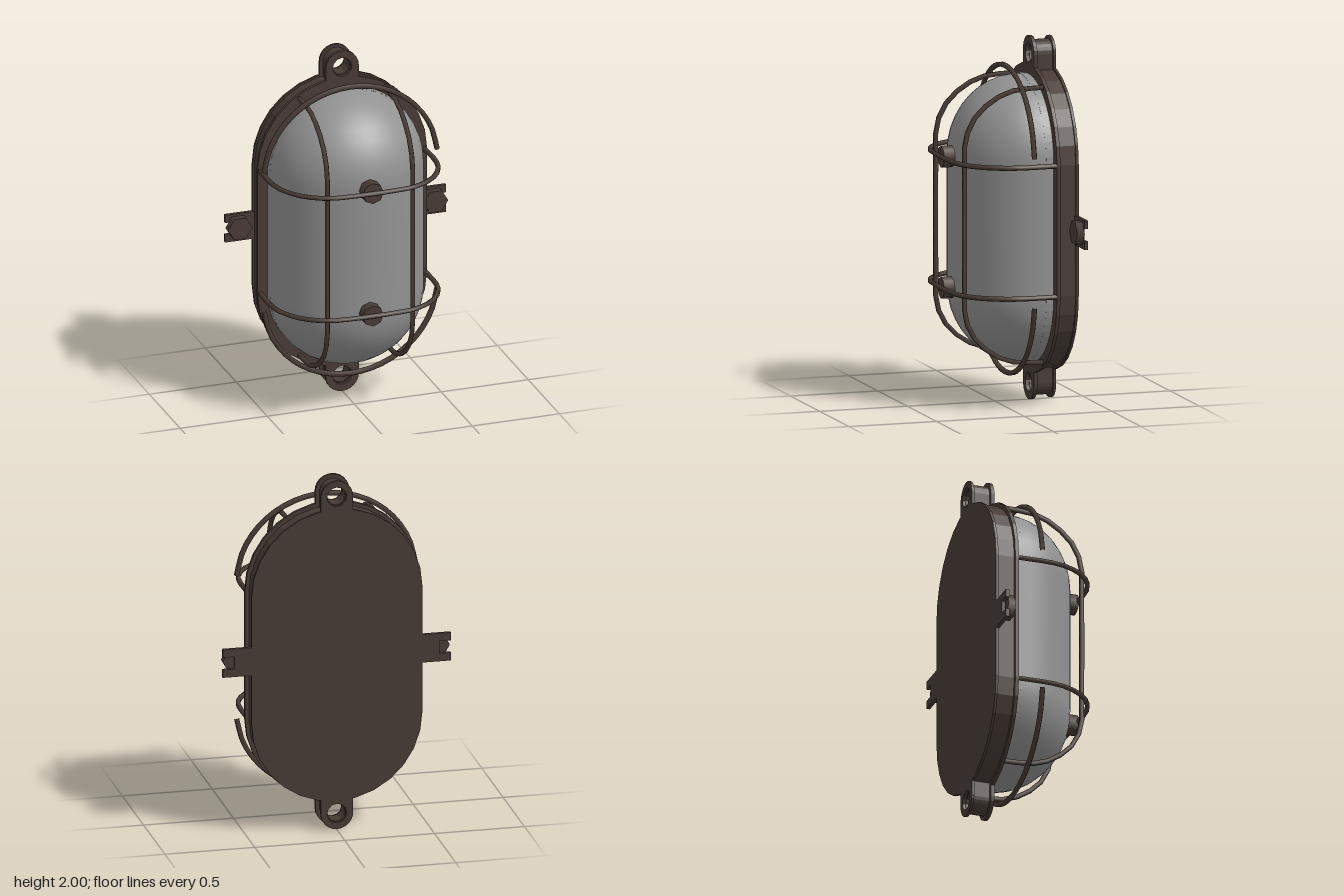
import * as THREE from 'three';

const C = 0.36; // distance of the rounded ends' centres from the middle

export function createModel() {
  const bronze = new THREE.MeshStandardMaterial({ color: 0x483b35 });
  bronze.name = 'dark bronze';
  const glassGrey = new THREE.MeshStandardMaterial({ color: 0x929292 });
  glassGrey.name = 'glass grey';

  const model = new THREE.Group();
  model.name = 'bulkheadLamp';
  const body = new THREE.Group();
  body.name = 'lampBody';
  body.position.y = 1; // the body is modelled around its own middle
  model.add(body);

  const add = (name, geometry, material = bronze) => {
    const mesh = new THREE.Mesh(geometry, material);
    mesh.name = name;
    body.add(mesh);
    return mesh;
  };
  const slab = (shape, z0, z1, curveSegments = 7) =>
    new THREE.ExtrudeGeometry(shape, { depth: z1 - z0, bevelEnabled: false, curveSegments }).translate(0, 0, z0);
  const stadium = (r) => {
    const s = new THREE.Shape();
    s.absarc(0, C, r, 0, Math.PI, false);
    s.absarc(0, -C, r, Math.PI, Math.PI * 2, false);
    s.closePath();
    return s;
  };
  // Hanging eye with a bolt hole; side is +1 for the top, -1 for the bottom
  const eye = (r, hole, side) => {
    const s = new THREE.Shape();
    s.absarc(0, 0.905 * side, r, side > 0 ? 0 : Math.PI, side > 0 ? Math.PI : Math.PI * 2, false);
    s.lineTo(-r * side, 0.78 * side);
    s.lineTo(r * side, 0.78 * side);
    s.closePath();
    const h = new THREE.Path();
    h.absarc(0, 0.905 * side, hole, 0, Math.PI * 2, true);
    s.holes.push(h);
    return s;
  };

  // Housing: back plate, recessed wall and front flange, each with its eyes
  const layers = [
    ['backPlate', -0.32, -0.305, 0.475, 0.09, 0.055],
    ['housingWall', -0.305, -0.212, 0.465, 0.072, 0.05],
    ['frontFlange', -0.212, -0.192, 0.487, 0.095, 0.055],
  ];
  for (const [name, z0, z1, r, eyeR, hole] of layers) {
    add(name, slab(stadium(r), z0, z1));
    for (const side of [1, -1]) add(name + 'Eye', slab(eye(eyeR, hole, side), z0, z1, 6));
  }

  // Glass cover: short straight rim and half a capsule
  const R = 0.43;
  add('glassRim', slab(stadium(R), -0.2, -0.15, 16), glassGrey);
  const profile = [];
  for (const side of [-1, 1]) {
    for (let i = 0; i <= 10; i++) {
      const a = (side < 0 ? i - 10 : i) * Math.PI / 20;
      profile.push(new THREE.Vector2(Math.max(0, R * Math.cos(a)), side * C + R * Math.sin(a)));
    }
  }
  const dome = new THREE.LatheGeometry(profile, 24, -Math.PI / 2, Math.PI);
  dome.scale(1, 1, 0.4 / R).translate(0, 0, -0.15);
  add('glassDome', dome, glassGrey);

  // Guard bars swept along bent paths
  const bar = (name, points, radius = 0.014) => {
    const path = new THREE.CatmullRomCurve3(points, false, 'centripetal');
    return add(name, new THREE.TubeGeometry(path, 24, radius, 6));
  };
  const mirrored = (half) => [...half, ...half.map(([a, z]) => [-a, z]).reverse()];

  const crossHalf = [[0.47, -0.2], [0.472, -0.02], [0.455, 0.08], [0.375, 0.21], [0.25, 0.288], [0.13, 0.304]];
  const longHalf = [[0.755, -0.2], [0.745, -0.02], [0.7, 0.09], [0.61, 0.195], [0.49, 0.25], [0.3, 0.255]];
  for (const side of [1, -1]) {
    bar('crossBar', mirrored(crossHalf).map(([x, z]) => new THREE.Vector3(x, side * C, z)));
    bar('longBar', mirrored(longHalf).map(([y, z]) => new THREE.Vector3(side * 0.245, y, z)));

    // Hoop around each rounded end
    const hoop = [];
    for (let i = 0; i <= 10; i++) {
      const a = 0.1 + (Math.PI - 0.2) * i / 10;
      hoop.push(new THREE.Vector3(0.5 * Math.cos(a), side * (C + 0.482 * Math.sin(a)), -0.06));
    }
    bar('endHoop', hoop, 0.015);

    // Knob where the cross bar meets the glass
    const knob = new THREE.CylinderGeometry(0.06, 0.06, 0.075, 8).rotateX(Math.PI / 2);
    add('knob', knob.toNonIndexed()).position.set(0, side * C, 0.27);

    // Side bracket with an open slot, and its hexagonal bolt
    const tab = new THREE.Shape([
      [0.44, -0.08], [0.635, -0.08], [0.635, -0.035], [0.57, -0.035],
      [0.57, 0.035], [0.635, 0.035], [0.635, 0.08], [0.44, 0.08],
    ].map(([x, y]) => new THREE.Vector2(side * x, y)));
    add('sideBracket', slab(tab, -0.32, -0.3));
    const bolt = new THREE.CylinderGeometry(0.07, 0.07, 0.042, 6).rotateY(Math.PI / 6).rotateX(Math.PI / 2);
    add('bracketBolt', bolt).position.set(side * 0.562, 0.005, -0.281);
  }

  return model;
}
